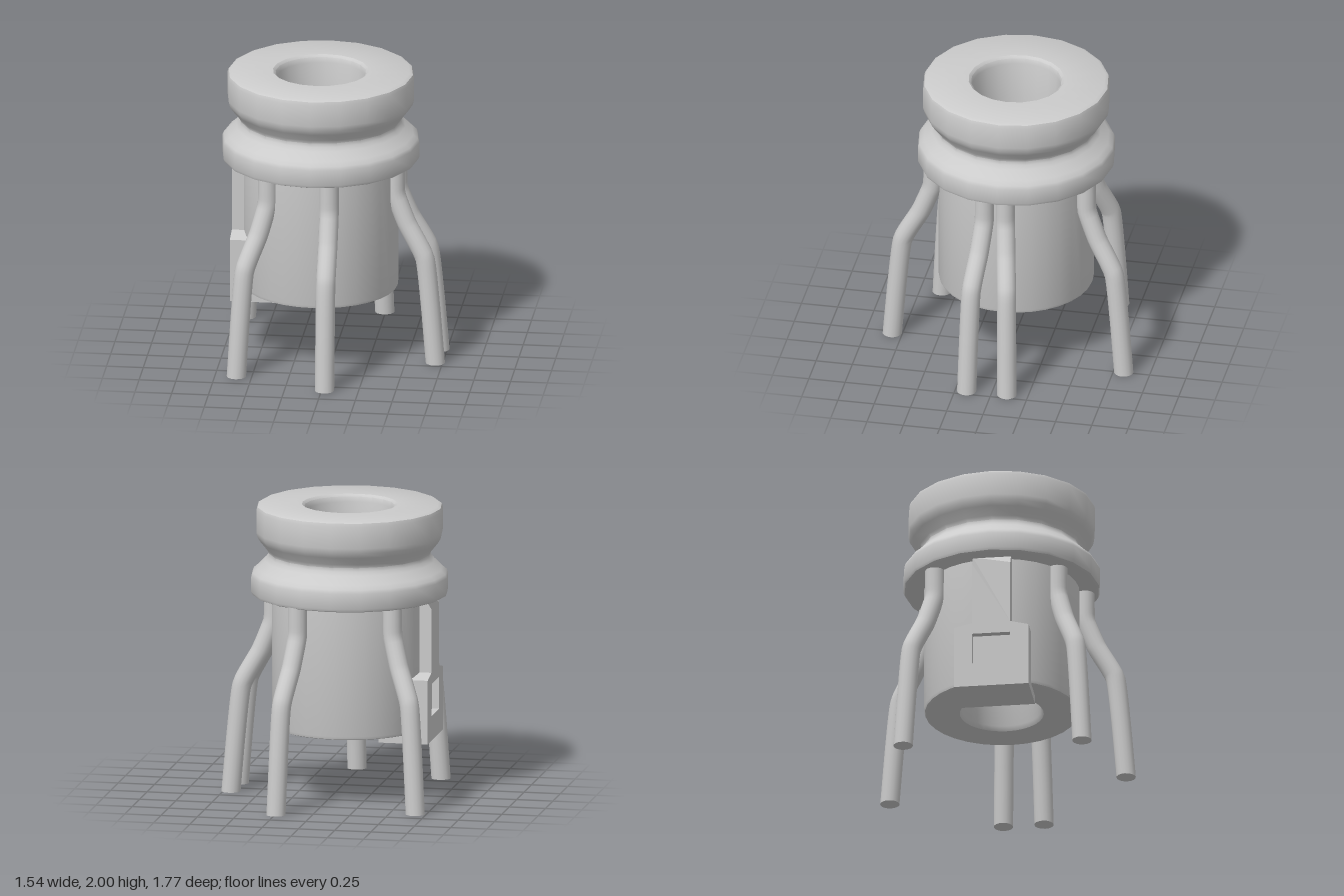
import * as THREE from 'three';
import { toCreasedNormals } from 'three/addons/utils/BufferGeometryUtils.js';

const AXIS_X = -0.1, AXIS_Z = -0.012;
const material = new THREE.MeshStandardMaterial({ color: 0xcccccc });

function addMesh(parent, name, geometry) {
  const mesh = new THREE.Mesh(geometry, material);
  mesh.name = name;
  parent.add(mesh);
  return mesh;
}

// Closed profile turned around the socket axis
function turned(profile, sides) {
  const points = profile.map(([r, y]) => new THREE.Vector2(r, y));
  points.push(points[0].clone());
  const geometry = toCreasedNormals(new THREE.LatheGeometry(points, sides), 0.65);
  return geometry.translate(AXIS_X, 0, AXIS_Z);
}

// Wire leg: straight at the top, bent outward, then splayed to the ground
function wireLeg([topX, topZ], [endX, endZ]) {
  const bends = [[1.42, 0], [1.28, 0], [1.17, 0.02], [0.97, 0.3], [0.74, 0.74], [0.4, 0.88], [0, 1]];
  const path = new THREE.CatmullRomCurve3(bends.map(([y, t]) => new THREE.Vector3(
    topX + (endX - topX) * t, y, topZ + (endZ - topZ) * t)), false, 'catmullrom', 0.25);
  const tube = new THREE.TubeGeometry(path, 36, 0.066, 16);
  const p = tube.attributes.position;
  for (let i = 0; i < p.count; i++) if (p.getY(i) < 0.025) p.setY(i, 0); // level foot
  const leg = new THREE.Group();
  leg.name = 'wireLeg';
  addMesh(leg, 'wire', tube);
  addMesh(leg, 'wireEnd', new THREE.CircleGeometry(0.066, 16).rotateX(Math.PI / 2).translate(endX, 0, endZ));
  return leg;
}

// Key plate outline: wide block with sloped shoulders and a narrow strip above
function keyPlate(depth, innerX, withWindow) {
  const half = [[0.255, 0.41], [0.255, 0.85], [0.13, 0.88], [0.13, 1.32], [0.13, 1.39]];
  const outline = [...half, ...half.map(([z, y]) => [-z, y]).reverse()];
  const shape = new THREE.Shape(outline.map(([z, y]) => new THREE.Vector2(z, y)));
  if (withWindow) {
    const corners = [[-0.13, 0.58], [-0.13, 0.8], [0.13, 0.8], [0.13, 0.58]];
    shape.holes.push(new THREE.Path(corners.map(([z, y]) => new THREE.Vector2(z, y))));
  }
  const geometry = new THREE.ExtrudeGeometry(shape, { depth, bevelEnabled: false });
  geometry.rotateY(-Math.PI / 2).translate(innerX, 0, -0.008);
  // Slope the top of the strip inward
  const p = geometry.attributes.position;
  for (let i = 0; i < p.count; i++) {
    if (p.getY(i) > 1.38 && p.getX(i) < -0.68) p.setX(i, -0.645);
  }
  geometry.computeVertexNormals();
  return geometry;
}

export function createModel() {
  const model = new THREE.Group();
  model.name = 'socket';

  // Grooved collar with a wide mouth
  addMesh(model, 'collar', turned([
    [0.266, 1.38], [0.645, 1.38], [0.662, 1.387], [0.67, 1.405], [0.67, 1.51], [0.66, 1.535],
    [0.63, 1.56], [0.575, 1.615], [0.553, 1.64], [0.548, 1.665], [0.56, 1.69],
    [0.605, 1.745], [0.627, 1.78], [0.635, 1.815], [0.635, 1.965], [0.627, 1.988], [0.605, 2],
    [0.325, 2], [0.307, 1.985], [0.298, 1.95], [0.28, 1.7],
  ], 20));

  // Hollow cylindrical body
  addMesh(model, 'body', turned([
    [0.285, 0.47], [0.505, 0.47], [0.52, 0.476], [0.526, 0.495], [0.526, 1.4],
    [0.268, 1.4], [0.268, 0.5],
  ], 32));

  // Side key with a recessed window, and its lug inside the bore
  const key = new THREE.Group();
  key.name = 'sideKey';
  addMesh(key, 'keyBlock', keyPlate(0.29, -0.352, false));
  addMesh(key, 'keyFrame', keyPlate(0.048, -0.642, true));
  addMesh(key, 'innerLug', new THREE.BoxGeometry(0.16, 0.26, 0.255).translate(-0.38, 0.69, 0));
  model.add(key);

  // Six wire legs: top and ground positions (x, z)
  const legs = [
    [[0.42, 0.105], [0.7, 0.172]],
    [[0.42, -0.04], [0.7, -0.105]],
    [[0.02, 0.54], [0.02, 0.82]],
    [[0.15, -0.545], [0.243, -0.82]],
    [[-0.413, 0.41], [-0.605, 0.6]],
    [[-0.48, -0.42], [-0.675, -0.61]],
  ];
  for (const [top, end] of legs) model.add(wireLeg(top, end));

  return model;
}
